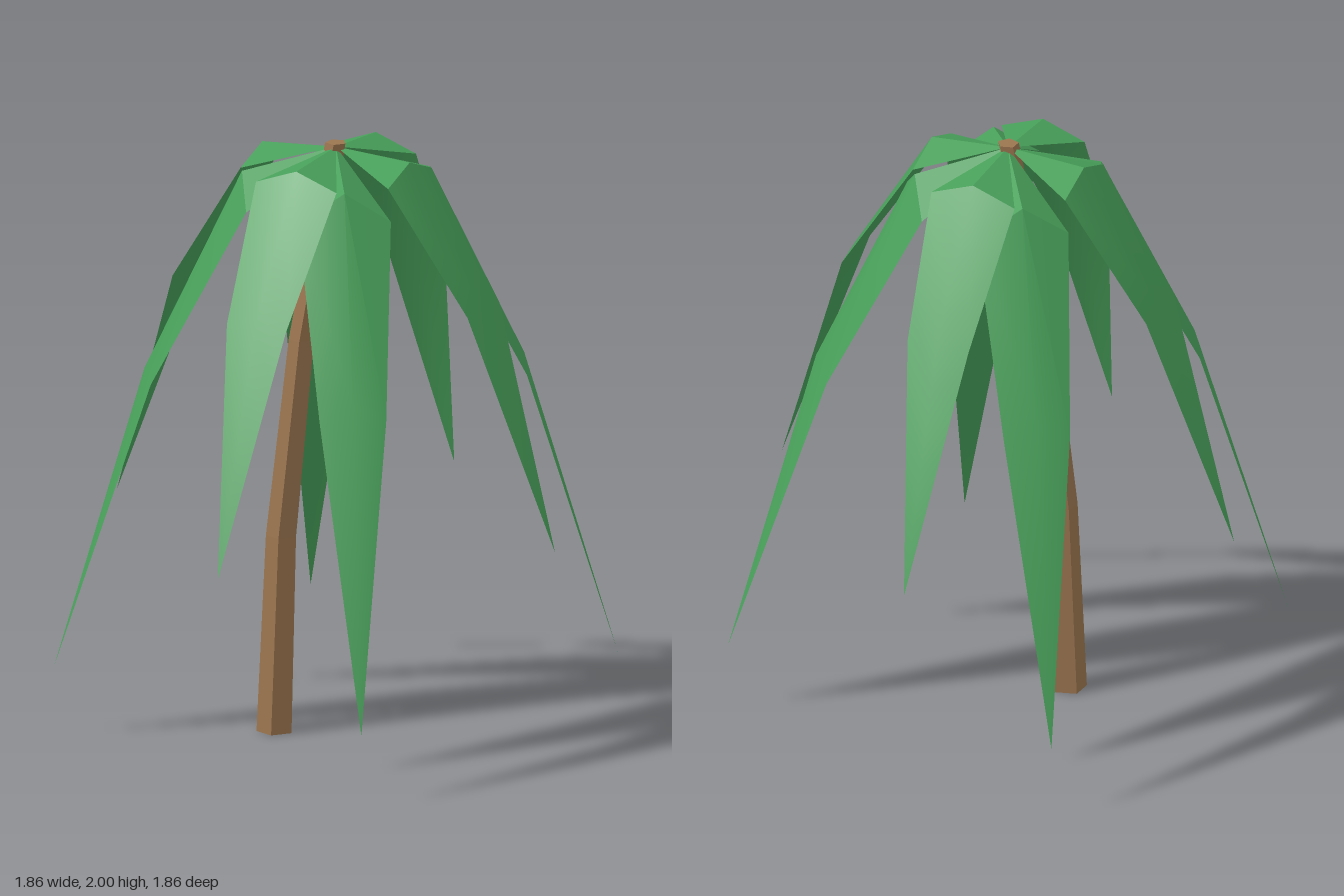
import * as THREE from 'three';
import { toCreasedNormals } from 'three/addons/utils/BufferGeometryUtils.js';

const TOP = 1.985;

// Drooping leaf along +z: each row is [distance out, half width, ridge height, edge height]
function frondGeometry([r1, w1, m1, e1], [r2, w2, m2, e2], [rTip, yTip]) {
  const geo = new THREE.BufferGeometry();
  geo.setAttribute('position', new THREE.Float32BufferAttribute([
    0, TOP, 0,
    -w1, e1, r1, 0, m1, r1, w1, e1, r1,
    -w2, e2, r2, 0, m2, r2, w2, e2, r2,
    0, yTip, rTip,
  ], 3));
  geo.setIndex([
    0, 1, 2, 0, 2, 3,
    1, 4, 5, 1, 5, 2, 2, 5, 6, 2, 6, 3,
    4, 7, 5, 5, 7, 6,
  ]);
  return toCreasedNormals(geo, 0.52);
}

// Five-sided tapering trunk, curving from its offset foot to the crown
function trunkGeometry() {
  const geo = new THREE.CylinderGeometry(0.036, 0.062, 2, 5, 3, false, -Math.PI / 2);
  geo.translate(0, 1, 0);
  const pos = geo.attributes.position;
  for (let i = 0; i < pos.count; i++) {
    const t = pos.getY(i) / 2;
    pos.setX(i, pos.getX(i) - 0.2 * (1 - t * t));
  }
  geo.computeVertexNormals();
  return geo;
}

export function createModel() {
  const model = new THREE.Group();
  model.name = 'palmTree';

  const bark = new THREE.MeshStandardMaterial({ color: 0x9c7650, flatShading: true });
  const leaf = new THREE.MeshStandardMaterial({ color: 0x48a05a, side: THREE.DoubleSide });

  const trunk = new THREE.Mesh(trunkGeometry(), bark);
  trunk.name = 'trunk';
  model.add(trunk);

  // Four long low fronds, and four shorter ones above them
  const lower = frondGeometry([0.31, 0.153, 1.91, 1.81], [0.62, 0.11, 1.27, 1.22], [0.93, 0.235]);
  const upper = frondGeometry([0.275, 0.15, 1.967, 1.913], [0.55, 0.11, 1.53, 1.5], [0.817, 0.71]);
  const layers = [
    ['lowerFrond', lower, 0],
    ['upperFrond', upper, THREE.MathUtils.degToRad(56.5)],
  ];
  for (const [name, geo, start] of layers) {
    for (let i = 0; i < 4; i++) {
      const frond = new THREE.Mesh(geo, leaf);
      frond.name = name + (i + 1);
      frond.rotation.y = start + i * Math.PI / 2;
      model.add(frond);
    }
  }
  return model;
}
